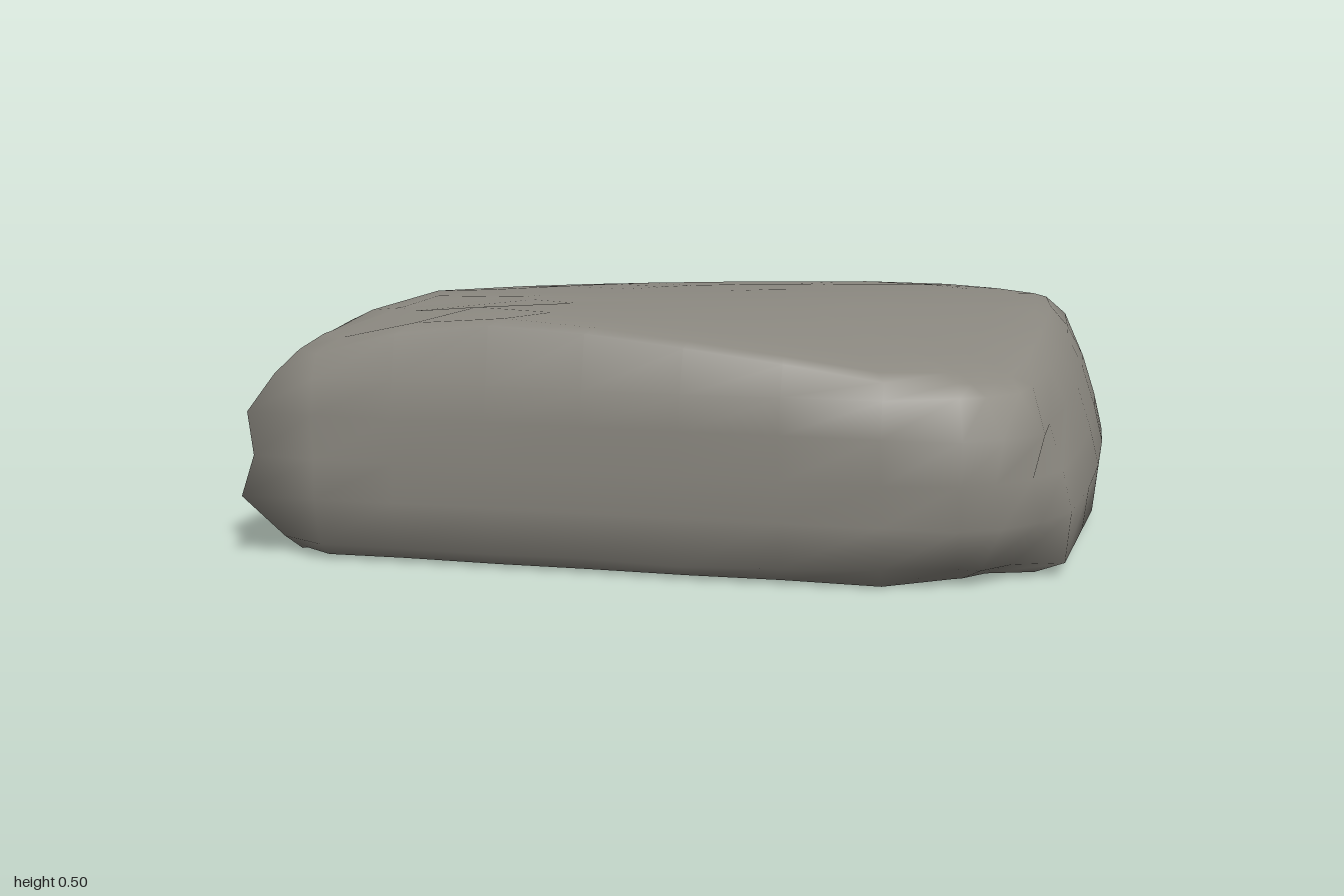
import * as THREE from 'three';

// Inward offsets of the side, from the ground up to the rim
const LEVELS = [0, 0.035, 0.13, 0.21, 0.3, 0.37];
const PROFILES = {
  leftTip: [0.13, 0.09, 0, 0.03, 0.02, 0.08, 0.14],
  frontLeft: [0.06, 0.02, 0, 0.005, 0, 0.008, 0.04],
  frontTip: [0.13, 0.07, 0, 0.025, 0, 0.06, 0.12],
  frontRight: [0.07, 0.01, 0, 0.02, 0.05, 0.085, 0.13],
  right: [0.13, 0.045, 0.035, 0.025, 0.01, 0, 0.06],
  back: [0.12, 0.09, 0.01, 0.01, 0.015, 0.06, 0.13],
  backLeft: [0.07, 0.04, 0, 0.01, 0.02, 0.05, 0.09],
};

// Widest outline, clockwise from above: x, z, side profile
const OUTLINE = [
  [-1, -0.14, 'leftTip'], [-0.92, -0.23, 'backLeft'], [-0.78, -0.3, 'backLeft'],
  [-0.6, -0.38, 'backLeft'], [-0.35, -0.485, 'backLeft'], [-0.15, -0.58, 'backLeft'],
  [0, -0.65, 'backLeft'], [0.2, -0.73, 'back'], [0.37, -0.77, 'back'],
  [0.6, -0.74, 'back'], [0.76, -0.69, 'back'], [0.84, -0.62, 'right'],
  [0.92, -0.4, 'right'], [0.97, -0.24, 'right'], [1, -0.1, 'right'],
  [0.96, 0.1, 'frontRight'], [0.86, 0.23, 'frontRight'], [0.7, 0.42, 'frontRight'],
  [0.55, 0.58, 'frontRight'], [0.4, 0.72, 'frontRight'], [0.3, 0.76, 'frontTip'],
  [0.2, 0.77, 'frontTip'], [0.12, 0.75, 'frontTip'], [0, 0.66, 'frontLeft'],
  [-0.15, 0.54, 'frontLeft'], [-0.3, 0.42, 'frontLeft'], [-0.45, 0.295, 'frontLeft'],
  [-0.6, 0.175, 'frontLeft'], [-0.75, 0.055, 'frontLeft'], [-0.88, -0.045, 'frontLeft'],
];
const N = OUTLINE.length;
const CENTRE = [0.15, -0.02];

// Gently tilted crown, highest towards the left tip
function topHeight(x, z) {
  const tip = Math.min(0, x + 0.5);
  return 0.505 - 0.055 * Math.max(0, x + 0.5) - 0.6 * tip * tip - 0.12 * (z + 0.1) ** 2;
}

function insetPoint(i, d) {
  const [x, z] = OUTLINE[i];
  const a = OUTLINE[(i + N - 1) % N], b = OUTLINE[(i + 1) % N];
  const tx = b[0] - a[0], tz = b[1] - a[1], l = Math.hypot(tx, tz);
  return [x - (tz / l) * d, z + (tx / l) * d];
}

function makeGeometry(positions, index) {
  const g = new THREE.BufferGeometry();
  g.setAttribute('position', new THREE.Float32BufferAttribute(positions, 3));
  g.setIndex(index);
  g.computeVertexNormals();
  return g;
}

export function createModel() {
  const group = new THREE.Group();
  group.name = 'rock';
  const stone = new THREE.MeshStandardMaterial({ color: 0x8d8a82 });
  stone.name = 'stone grey';

  let seed = 7;
  const wobble = () => ((seed = (seed * 16807) % 2147483647) / 2147483647 - 0.5);

  // Weathered sides
  const rings = LEVELS.map((y, j) => OUTLINE.map(([, , kind], i) => {
    const chip = j === 0 || j === 5 ? 0.016 * wobble() : 0;
    const [x, z] = insetPoint(i, PROFILES[kind][j] + Math.abs(chip));
    return [x, j === 1 ? y + 0.02 * wobble() : y, z];
  }));

  // Rounded rim, then the crown shrinking towards its centre
  const rim = OUTLINE.map(([, , kind], i) => insetPoint(i, PROFILES[kind][6]));
  for (const [s, drop] of [[1, 0.012], [0.95, 0.003], [0.8, 0], [0.55, 0], [0.28, 0]]) {
    rings.push(rim.map(([px, pz]) => {
      const x = CENTRE[0] + (px - CENTRE[0]) * s, z = CENTRE[1] + (pz - CENTRE[1]) * s;
      return [x, topHeight(x, z) - drop, z];
    }));
  }

  const positions = rings.flat(2);
  const index = [];
  for (let j = 0; j < rings.length - 1; j++) {
    for (let i = 0; i < N; i++) {
      const k = (i + 1) % N, a = j * N, b = a + N;
      index.push(a + k, a + i, b + i, a + k, b + i, b + k);
    }
  }
  const last = (rings.length - 1) * N, apex = rings.length * N;
  positions.push(CENTRE[0], topHeight(...CENTRE), CENTRE[1]);
  for (let i = 0; i < N; i++) index.push(apex, last + ((i + 1) % N), last + i);
  const body = new THREE.Mesh(makeGeometry(positions, index), stone);
  body.name = 'rockBody';

  // Flat underside
  const basePositions = [...rings[0].flat(), CENTRE[0], 0, CENTRE[1]];
  const baseIndex = [];
  for (let i = 0; i < N; i++) baseIndex.push(N, i, (i + 1) % N);
  const base = new THREE.Mesh(makeGeometry(basePositions, baseIndex), stone);
  base.name = 'rockUnderside';

  group.add(body, base);
  return group;
}
